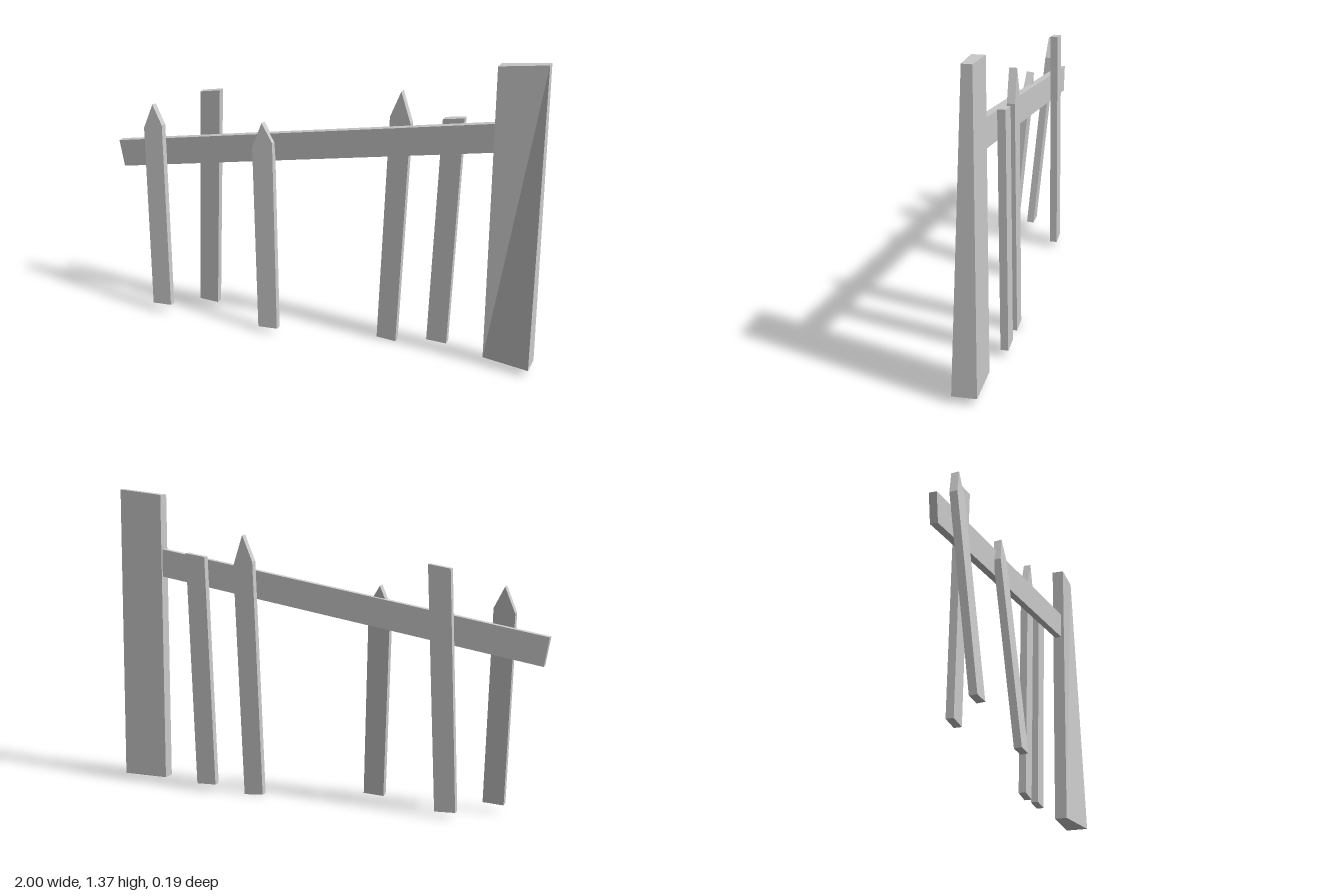
import * as THREE from 'three';

const material = new THREE.MeshStandardMaterial({ color: 0xcccccc, flatShading: true });

// Flat board: an outline in x/y, given thickness from z = back, leaning about its foot
function board(name, outline, back, thickness, lean = 0) {
  const shape = new THREE.Shape(outline.map(([x, y]) => new THREE.Vector2(x, y)));
  const geometry = new THREE.ExtrudeGeometry(shape, { depth: thickness, bevelEnabled: false });
  const mesh = new THREE.Mesh(geometry, material);
  mesh.name = name;
  mesh.position.z = back;
  mesh.rotation.x = lean;
  return mesh;
}

// Post: a box whose corners are pulled into a crooked, tapering block
function crookedPost() {
  const geometry = new THREE.BoxGeometry(1, 1, 1);
  const p = geometry.attributes.position;
  for (let i = 0; i < p.count; i++) {
    const right = p.getX(i) > 0, top = p.getY(i) > 0, front = p.getZ(i) > 0;
    const x = right ? (top ? 0.993 : 1) : 0.787;
    const y = top ? (right ? 1.367 : 1.345) : 0.03;
    const z = front ? (top ? (right ? -0.01 : 0.003) : (right ? 0.047 : 0.001))
                    : (top ? -0.052 : -0.056);
    p.setXYZ(i, x, y, z);
  }
  geometry.computeVertexNormals();
  const mesh = new THREE.Mesh(geometry, material);
  mesh.name = 'post';
  return mesh;
}

export function createModel() {
  const fence = new THREE.Group();
  fence.name = 'brokenFence';

  fence.add(crookedPost());

  // Sloping rail, its upper end set into the post
  fence.add(board('rail', [[-0.978, 0.674], [0.84, 0.983], [0.84, 1.108], [-1, 0.798]], -0.044, 0.032));

  // Pointed pickets at the front, leaning out at the foot
  fence.add(board('frontPicketOuter',
    [[-0.8, 0.038], [-0.707, 0.043], [-0.757, 0.908], [-0.806, 1], [-0.849, 0.887]], 0.063, 0.033, -0.092));
  fence.add(board('frontPicketInner',
    [[-0.251, 0.02], [-0.158, 0.025], [-0.206, 0.895], [-0.259, 0.98], [-0.302, 0.865]], 0.063, 0.033, -0.092));

  // Upright pickets behind the rail, one pointed and two cut flat
  fence.add(board('backPicketPointed',
    [[0.277, 0.007], [0.367, 0], [0.411, 1.04], [0.366, 1.178], [0.318, 1.062]], -0.081, 0.033));
  fence.add(board('backPicketOuter',
    [[-0.628, 0.028], [-0.535, 0.024], [-0.493, 1.084], [-0.591, 1.068]], -0.093, 0.033));
  fence.add(board('backPicketInner',
    [[0.509, 0.033], [0.602, 0.03], [0.641, 1.09], [0.548, 1.076]], -0.093, 0.033));

  return fence;
}
